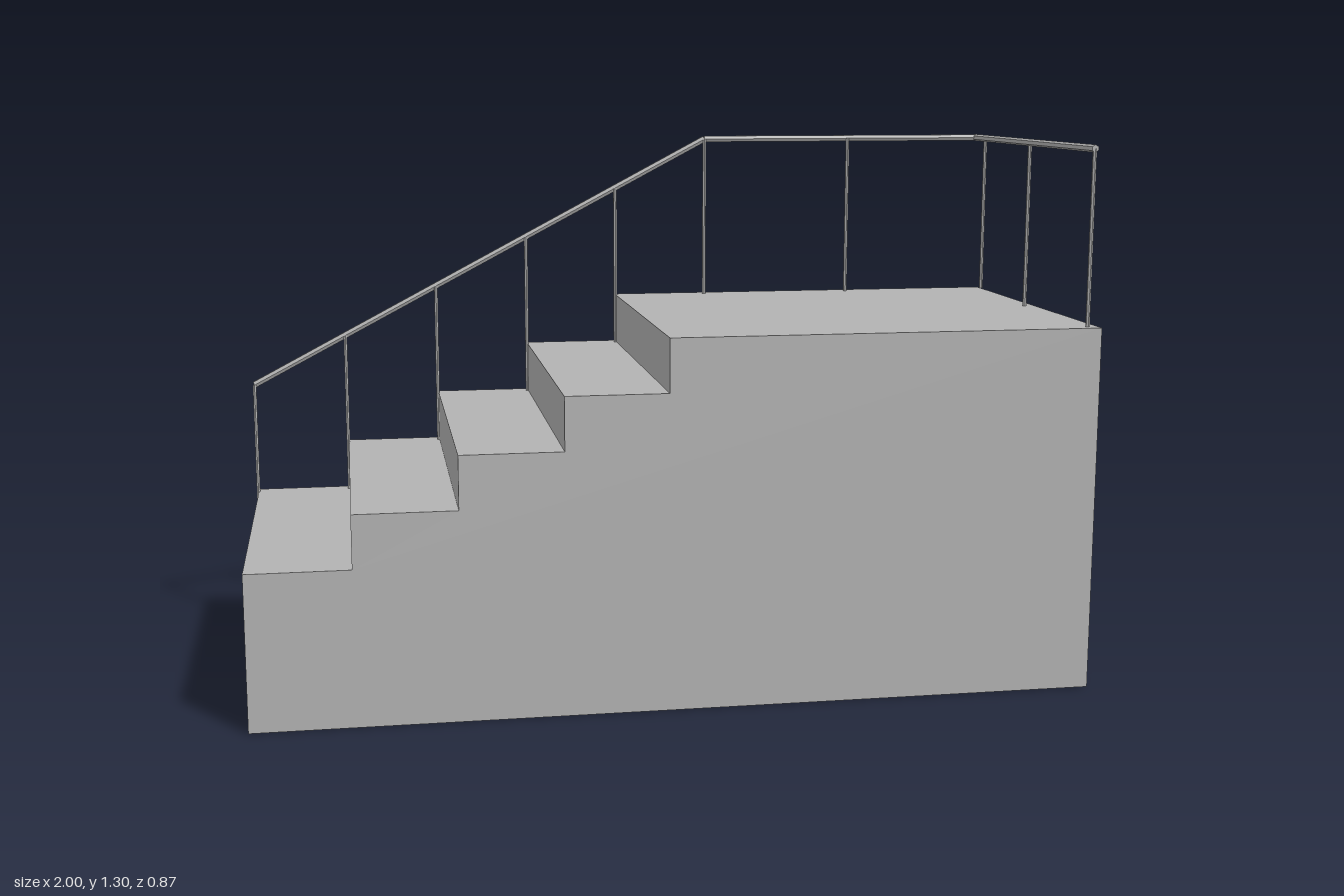
import * as THREE from 'three';

export function createModel() {
  const model = new THREE.Group();
  const concrete = new THREE.MeshStandardMaterial({ color: 0xb2b2b2, flatShading: true });
  concrete.name = 'grey concrete and metal';

  // Solid stepped base: side profile extruded across the depth
  const left = -0.995, right = 0.99, depth = 0.87;
  const firstTread = 0.369, rise = 0.1265, firstRiser = -0.755, run = 0.24;
  const profile = new THREE.Shape();
  profile.moveTo(left, 0);
  profile.lineTo(right, 0);
  profile.lineTo(right, firstTread + 4 * rise);
  for (let i = 3; i >= 0; i--) {
    const x = firstRiser + i * run;
    profile.lineTo(x, firstTread + (i + 1) * rise);
    profile.lineTo(x, firstTread + i * rise);
  }
  profile.lineTo(left, firstTread);
  profile.closePath();
  const baseGeo = new THREE.ExtrudeGeometry(profile, { depth, bevelEnabled: false });
  baseGeo.translate(0, 0, -depth / 2);
  const base = new THREE.Mesh(baseGeo, concrete);
  base.name = 'steppedBase';
  model.add(base);

  // Thin round bar between two points
  const railing = new THREE.Group();
  railing.name = 'railing';
  model.add(railing);
  function bar(name, a, b, radius) {
    const from = new THREE.Vector3(...a), to = new THREE.Vector3(...b);
    const dir = to.clone().sub(from);
    const mesh = new THREE.Mesh(new THREE.CylinderGeometry(radius, radius, dir.length(), 6), concrete);
    mesh.position.copy(from).add(to).multiplyScalar(0.5);
    mesh.quaternion.setFromUnitVectors(new THREE.Vector3(0, 1, 0), dir.normalize());
    mesh.name = name;
    railing.add(mesh);
  }

  // Handrails: sloped, level along the back, level across the end
  const railY = 1.29, bendX = 0.205, endX = 0.964, backZ = -0.411, frontZ = 0.411;
  const startX = -0.996, startY = 0.656, railR = 0.009, postR = 0.005;
  bar('slopedHandrail', [startX, startY, backZ], [bendX, railY, backZ], railR);
  bar('backHandrail', [bendX, railY, backZ], [endX + 0.006, railY, backZ], railR);
  bar('endHandrail', [endX, railY, backZ - 0.005], [endX, railY, frontZ + 0.004], railR);

  // Posts beside each riser, following the slope
  const postZ = -0.406, deck = firstTread + 4 * rise;
  const slopeY = (x) => startY + (x - startX) * (railY - startY) / (bendX - startX);
  for (let i = 0; i < 5; i++) {
    const x = i === 0 ? startX : firstRiser + (i - 1) * run - 0.002;
    const bottom = firstTread + (i - 1) * rise;
    bar('stairPost', [x, bottom, postZ], [x, slopeY(x), postZ], postR);
  }

  // Posts on the landing
  for (const [x, z] of [[bendX, postZ], [0.6, postZ], [0.993, -0.413], [endX, 0], [endX, frontZ]]) {
    bar('landingPost', [x, deck, z], [x, railY, z], postR);
  }
  return model;
}
